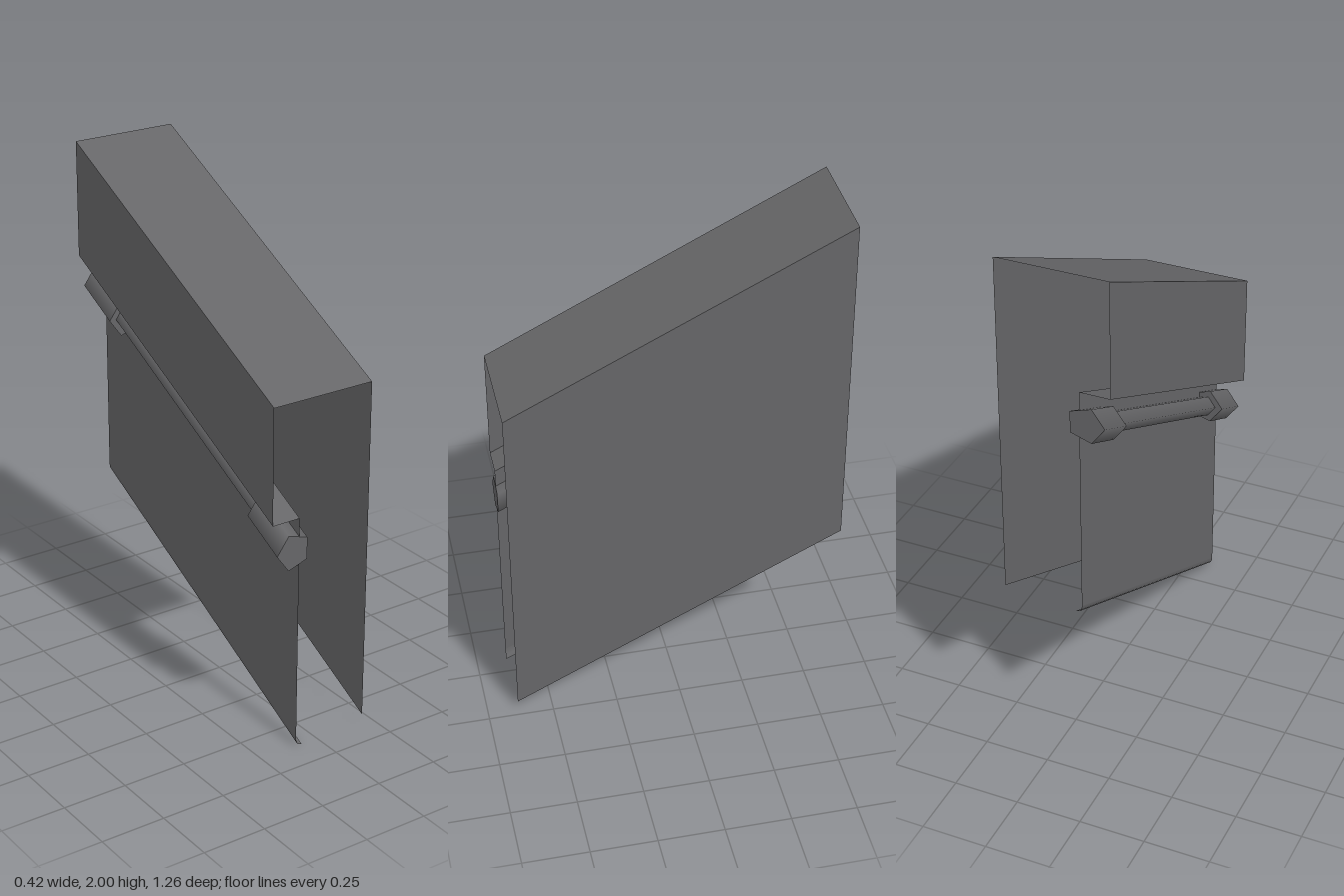
import * as THREE from 'three';

const HALF = 0.632;  // half length along z
const SLOPE = 0.499; // rise towards the back

// Everything is laid out level, then sheared so that it climbs towards -z.
const shear = new THREE.Matrix4().set(
  1, 0, 0, 0,
  0, 1, -SLOPE, SLOPE * HALF,
  0, 0, 1, 0,
  0, 0, 0, 1);

export function createModel() {
  const group = new THREE.Group();
  const grey = new THREE.MeshStandardMaterial({ color: 0x666668, side: THREE.DoubleSide });
  grey.name = 'dark grey';

  const add = (name, geometry) => {
    const mesh = new THREE.Mesh(geometry.applyMatrix4(shear), grey);
    mesh.name = name;
    group.add(mesh);
  };

  // Thin sheet swept along z from a line of [x, y] points
  const sheet = (name, points) => {
    const position = [], index = [];
    points.forEach(([x, y], i) => {
      position.push(x, y, HALF, x, y, -HALF);
      if (i) {
        const a = 2 * i - 2;
        index.push(a, a + 1, a + 2, a + 1, a + 3, a + 2);
      }
    });
    const g = new THREE.BufferGeometry();
    g.setAttribute('position', new THREE.Float32BufferAttribute(position, 3));
    g.setIndex(index);
    g.computeVertexNormals();
    add(name, g);
  };

  // Folded sheet casing, open at both ends
  sheet('tallSidePanel', [[0.21, 0.03], [0.21, 1.37]]);
  sheet('topPanel', [[0.21, 1.37], [-0.21, 1.37]]);
  sheet('shortSidePanel', [[-0.21, 1.37], [-0.21, 0.925]]);
  sheet('ledge', [[-0.21, 0.925], [-0.095, 0.925]]);
  sheet('lowerSidePanel', [[-0.095, 0.925], [-0.095, 0.03]]);
  sheet('bottomLip', [[-0.095, 0.03], [-0.093, 0.014], [-0.085, 0.004], [-0.07, 0]]);

  // Five-sided bar running along the slope between two z positions
  const bar = (name, radius, z0, z1) => {
    const g = new THREE.CylinderGeometry(radius, radius, z1 - z0, 5, 1, false, -Math.PI / 2);
    g.rotateX(Math.PI / 2);
    g.translate(-0.118, 0.8, (z0 + z1) / 2);
    add(name, g);
  };

  const END = 0.18;
  bar('rail', 0.044, -HALF + END, HALF - END);
  bar('frontRailEnd', 0.072, HALF - END, HALF);
  bar('backRailEnd', 0.072, -HALF, -HALF + END);

  return group;
}
